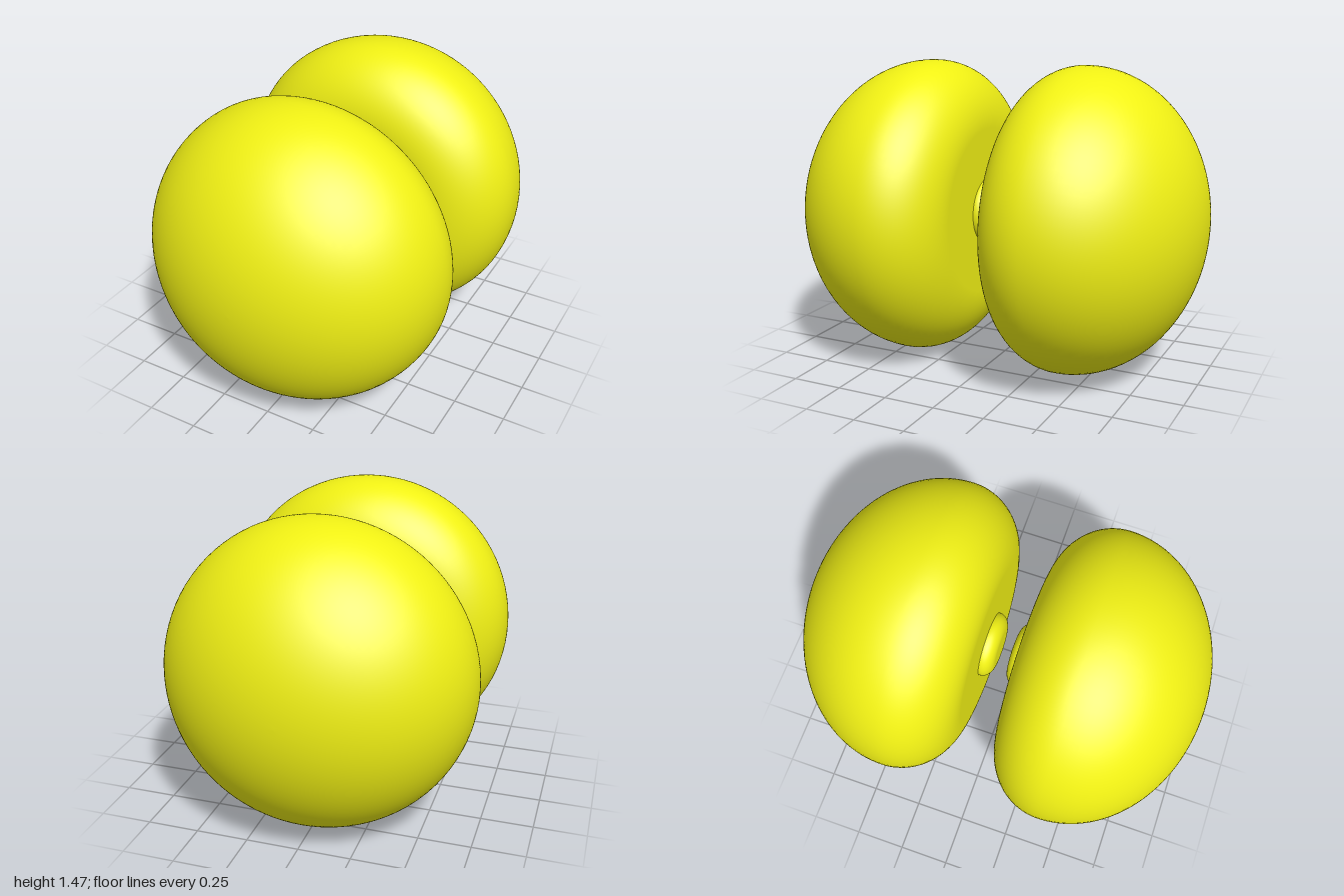
import * as THREE from 'three';

const material = new THREE.MeshStandardMaterial({ color: 0xf0f014 });

// Appends a quarter-ellipse arc centred on (r, z) to a lathe profile
function arc(points, r, z, radiusR, radiusZ, from, to, steps) {
  for (let i = 0; i <= steps; i++) {
    const a = from + ((to - from) * i) / steps;
    points.push(new THREE.Vector2(Math.max(0, r + radiusR * Math.cos(a)), z + radiusZ * Math.sin(a)));
  }
}

// Turns a profile (radius, z) around the z axis
function turned(name, points) {
  const geometry = new THREE.LatheGeometry(points, 96);
  geometry.rotateX(Math.PI / 2);
  const mesh = new THREE.Mesh(geometry, material);
  mesh.name = name;
  return mesh;
}

function createHalf(name) {
  const half = new THREE.Group();
  half.name = name;

  // Domed body: flat inner face, rounded rim, elliptical outer dome
  const body = [new THREE.Vector2(0, 0.095)];
  arc(body, 0.41, 0.4, 0.323, 0.305, -Math.PI / 2, 0, 24);
  body.pop();
  arc(body, 0, 0.4, 0.733, 0.6, 0, Math.PI / 2, 40);
  half.add(turned('dome', body));

  // Small rounded button in the middle of the inner face
  const button = [new THREE.Vector2(0, 0.033)];
  arc(button, 0.09, 0.09, 0.073, 0.057, -Math.PI / 2, 0, 14);
  button.push(new THREE.Vector2(0.163, 0.11));
  half.add(turned('button', button));

  return half;
}

export function createModel() {
  const model = new THREE.Group();
  model.name = 'splitDomes';
  const front = createHalf('frontHalf');
  const back = createHalf('backHalf');
  back.rotation.y = Math.PI;
  for (const half of [front, back]) {
    half.position.y = 0.733;
    model.add(half);
  }
  return model;
}
